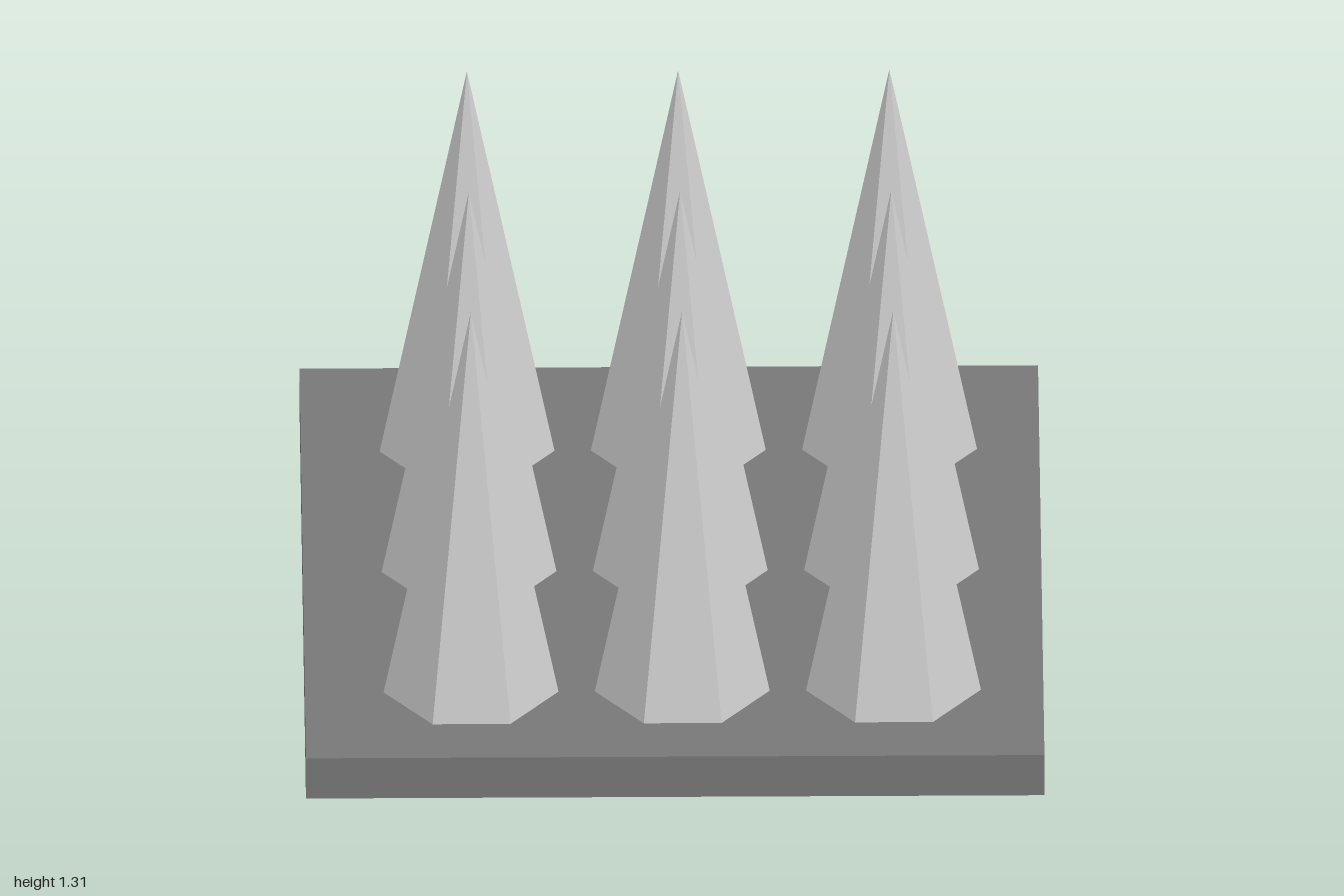
import * as THREE from 'three';

const BASE_HEIGHT = 0.128;
const TIP_HEIGHT = 1.305;
const SPIKE_RADIUS = 0.243;

export function createModel() {
  const model = new THREE.Group();
  model.name = 'spikeTrap';

  // Square base plate, darker than the spikes
  const plate = new THREE.Mesh(
    new THREE.BoxGeometry(2, BASE_HEIGHT, 2),
    new THREE.MeshStandardMaterial({ color: 0x777777, flatShading: true })
  );
  plate.name = 'basePlate';
  plate.position.y = BASE_HEIGHT / 2;
  model.add(plate);

  // Seven-sided spike with one corner pointing to the back
  const height = TIP_HEIGHT - BASE_HEIGHT;
  const spikeGeometry = new THREE.ConeGeometry(SPIKE_RADIUS, height, 7)
    .rotateY(Math.PI)
    .translate(0, height / 2 + BASE_HEIGHT, 0);
  const spikeMaterial = new THREE.MeshStandardMaterial({ color: 0xcccccc, flatShading: true });

  // Three by three grid of spikes, slightly off centre
  const spikes = new THREE.Group();
  spikes.name = 'spikes';
  for (let row = -1; row <= 1; row++) {
    for (let column = -1; column <= 1; column++) {
      const spike = new THREE.Mesh(spikeGeometry, spikeMaterial);
      spike.name = 'spike';
      spike.position.set(0.022 + column * 0.572, 0, -0.009 + row * 0.618);
      spikes.add(spike);
    }
  }
  model.add(spikes);

  return model;
}
